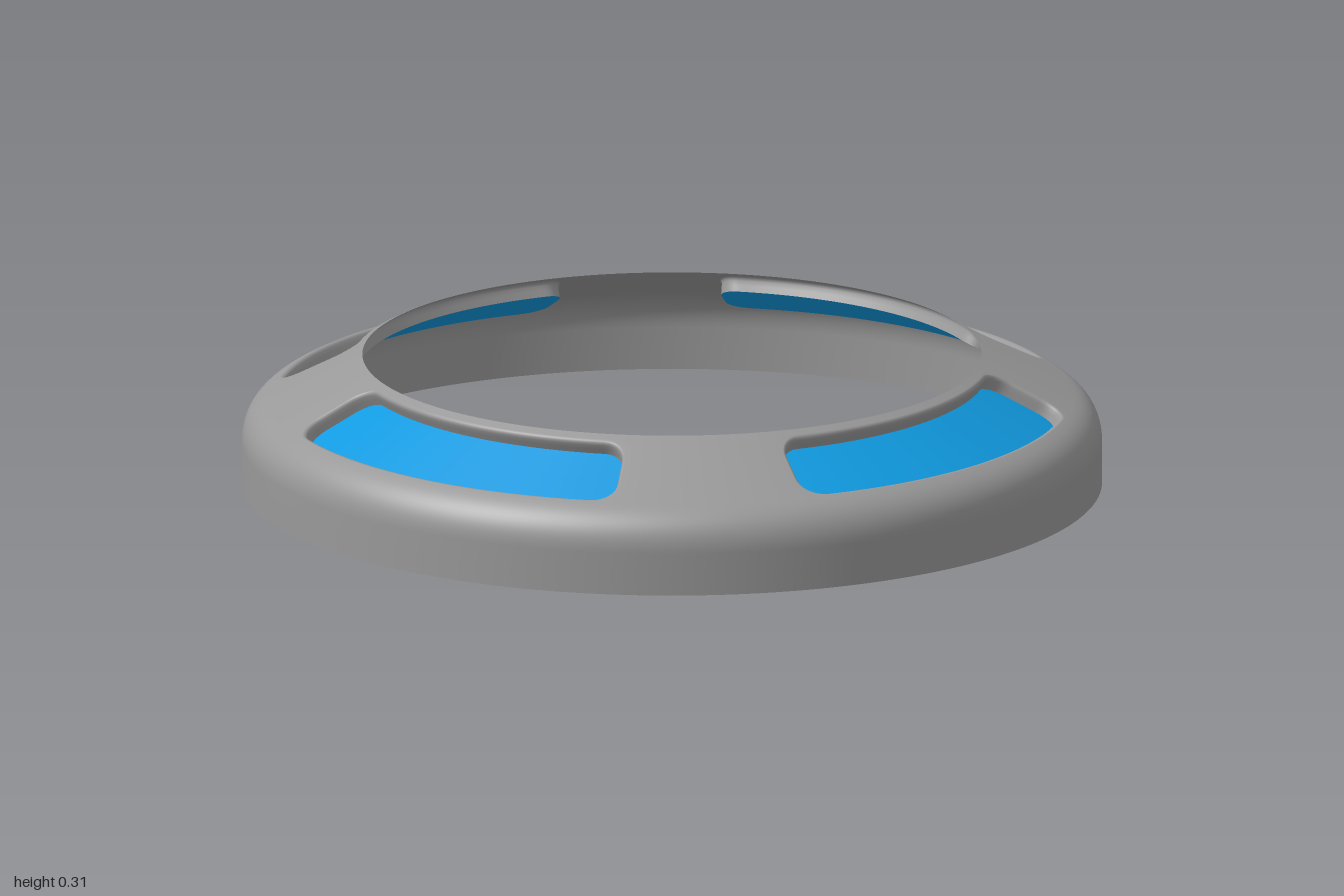
import * as THREE from 'three';
import { mergeGeometries, mergeVertices } from 'three/addons/utils/BufferGeometryUtils.js';

const NU = 64, NV = 16;               // samples along the long and short sides of a slot
const MID = 0.835;                    // radius of the slot centreline
const SLOT = { w: MID * 0.55, h: 0.095, round: 0.06 };
const DEPTH = 0.035;                  // how far the panels are sunk
const INNER = 0.72, SHOULDER = 0.94;  // radial extent of the sloping top
const coneY = (r) => 0.309 - 0.5 * (r - INNER);

// Points around the unit square, in order
const square = [];
for (let i = 0; i < NU; i++) square.push([-1 + (2 * i) / NU, -1]);
for (let i = 0; i < NV; i++) square.push([1, -1 + (2 * i) / NV]);
for (let i = 0; i < NU; i++) square.push([1 - (2 * i) / NU, 1]);
for (let i = 0; i < NV; i++) square.push([-1, 1 - (2 * i) / NV]);

// Rounded slot outline in (arc, radius) coordinates, shrunk by an inset and sunk by a depth
function slotLoop(inset, depth) {
  const w = SLOT.w - inset, h = SLOT.h - inset, q = SLOT.round - inset;
  return square.map(([u, v]) => {
    let a = u * w, b = v * h;
    const ca = THREE.MathUtils.clamp(a, q - w, w - q);
    const cb = THREE.MathUtils.clamp(b, q - h, h - q);
    const d = Math.hypot(a - ca, b - cb);
    if (d > 0) {
      a = ca + ((a - ca) * q) / d;
      b = cb + ((b - cb) * q) / d;
    }
    return [a, MID + b, depth];
  });
}

// Skin a series of loops, wrapping them on the cone around a given heading
function skin(loops, heading) {
  const pos = [], index = [], n = square.length;
  for (const loop of loops) {
    for (const [a, r, d] of loop) {
      const t = heading + a / MID, rr = r - 0.447 * d;
      pos.push(rr * Math.sin(t), coneY(r) - 0.894 * d, rr * Math.cos(t));
    }
  }
  for (let k = 0; k < loops.length - 1; k++) {
    for (let i = 0; i < n; i++) {
      const o0 = k * n + i, o1 = k * n + ((i + 1) % n);
      index.push(o0, o0 + n, o1, o1, o0 + n, o1 + n);
    }
  }
  const g = new THREE.BufferGeometry();
  g.setAttribute('position', new THREE.Float32BufferAttribute(pos, 3));
  g.setIndex(index);
  return g;
}

export function createModel() {
  const grey = new THREE.MeshStandardMaterial({ color: 0x999999, side: THREE.DoubleSide });
  grey.name = 'grey shell';
  const blue = new THREE.MeshStandardMaterial({ color: 0x109ae0, side: THREE.DoubleSide });
  blue.name = 'blue panel';

  const group = new THREE.Group();
  group.name = 'ringCover';

  // Quarter of the sloping top: sector border, closing in on the slot, then its rounded recess wall
  const border = square.map(([u, v]) => [
    (u * MID * Math.PI) / 4, (INNER + SHOULDER) / 2 + (v * (SHOULDER - INNER)) / 2, 0]);
  const rim = slotLoop(0, 0);
  const topLoops = [];
  for (let k = 0; k <= 8; k++) {
    topLoops.push(border.map((p, i) => p.map((c, j) => THREE.MathUtils.lerp(c, rim[i][j], k / 8))));
  }
  topLoops.push(slotLoop(0.003, 0.001), slotLoop(0.006, 0.004), slotLoop(0.008, 0.009),
    slotLoop(0.008, 0.02), slotLoop(0.008, DEPTH));

  // Panel: recess outline closing in on its centreline
  const edge = slotLoop(0.008, DEPTH);
  const panelLoops = [1, 0.75, 0.5, 0.25, 0].map((t) =>
    edge.map(([a, r, d]) => [a * (0.87 + 0.13 * t), MID + (r - MID) * t, d]));

  // Outer wall with rounded shoulder
  const shoulder = new THREE.QuadraticBezierCurve(
    new THREE.Vector2(1, 0.1), new THREE.Vector2(1, 0.169),
    new THREE.Vector2(SHOULDER, coneY(SHOULDER)));
  const wall = new THREE.LatheGeometry(
    [new THREE.Vector2(1, 0), new THREE.Vector2(1, 0.05), ...shoulder.getPoints(12)], NU * 4);
  wall.deleteAttribute('uv');
  wall.deleteAttribute('normal');

  const shellParts = [wall];
  ['front', 'left', 'back', 'right'].forEach((side, i) => {
    const heading = (i * Math.PI) / 2;
    shellParts.push(skin(topLoops, heading));
    const g = skin(panelLoops, heading);
    g.computeVertexNormals();
    const panel = new THREE.Mesh(g, blue);
    panel.name = side + 'Panel';
    group.add(panel);
  });

  const shellGeometry = mergeVertices(mergeGeometries(shellParts), 1e-4);
  shellGeometry.computeVertexNormals();
  const shell = new THREE.Mesh(shellGeometry, grey);
  shell.name = 'ringShell';
  group.add(shell);
  return group;
}
